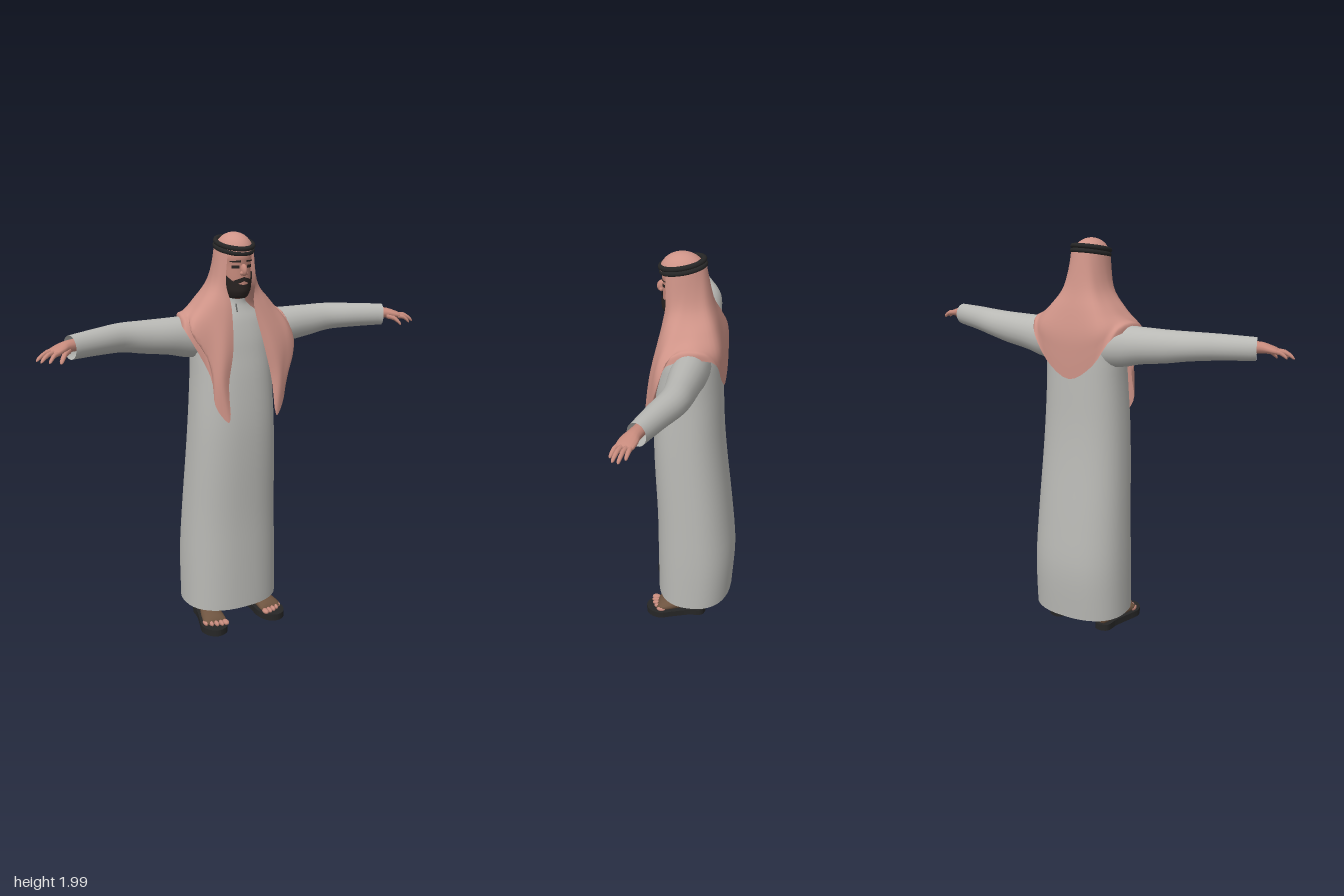
import * as THREE from 'three';

const mat = (name, color, side = THREE.FrontSide) => {
  const m = new THREE.MeshStandardMaterial({ color, side });
  m.name = name;
  return m;
};

// Catmull-Rom through rows of numbers, n steps per span
function smooth(rows, n) {
  const out = [], last = rows.length - 1;
  const at = i => rows[Math.max(0, Math.min(last, i))];
  for (let i = 0; i < last; i++) for (let s = 0; s < n; s++) {
    const t = s / n, a = at(i - 1), b = at(i), c = at(i + 1), d = at(i + 2);
    out.push(b.map((v, k) => {
      const cubic = 3 * (v - c[k]) + d[k] - a[k];
      const square = 2 * a[k] - 5 * v + 4 * c[k] - d[k];
      return v + 0.5 * t * (c[k] - a[k] + t * (square + t * cubic));
    }));
  }
  out.push(rows[last]);
  return out;
}

// Surface over a grid of points; closed joins the last column to the first
function surface(grid, closed) {
  const w = grid[0].length, index = [];
  for (let i = 0; i < grid.length - 1; i++) for (let j = 0; j < (closed ? w : w - 1); j++) {
    const k = (j + 1) % w, a = i * w + j, b = i * w + k, c = b + w, d = a + w;
    index.push(a, b, c, a, c, d);
  }
  const g = new THREE.BufferGeometry();
  g.setAttribute('position', new THREE.Float32BufferAttribute(grid.flat(2), 3));
  g.setIndex(index);
  g.computeVertexNormals();
  return g;
}

const superCos = (t, p) => Math.sign(Math.cos(t)) * Math.abs(Math.cos(t)) ** p;

// Point on an upright ring [y, halfWidth, zFront, zBack]
function ringPoint([y, rx, zf, zb], t, p = 1, grow = 0) {
  return [(rx + grow) * superCos(t - Math.PI / 2, p), y, (zf + zb) / 2 + ((zf - zb) / 2 + grow) * superCos(t, p)];
}

function upright(rows, sides, p) {
  return surface(smooth(rows, 4).map(r =>
    Array.from({ length: sides }, (_, j) => ringPoint(r, j / sides * Math.PI * 2, p))), true);
}

// Sideways limb through sections [x, y, z, halfHeight, halfDepth]
function limb(sections, sides = 14, n = 4) {
  const rows = smooth(sections, n);
  return surface(rows.map((r, i) => {
    const a = rows[Math.max(0, i - 1)], b = rows[Math.min(rows.length - 1, i + 1)];
    const len = Math.hypot(b[0] - a[0], b[2] - a[2]) || 1;
    const dx = (b[0] - a[0]) / len, dz = (b[2] - a[2]) / len;
    return Array.from({ length: sides }, (_, j) => {
      const t = j / sides * Math.PI * 2, q = r[4] * Math.cos(t);
      return [r[0] + dz * q, r[1] + r[3] * Math.sin(t), r[2] - dx * q];
    });
  }), true);
}

function mirrored(geo) {
  const g = geo.clone().scale(-1, 1, 1);
  if (!g.index) g.setIndex([...Array(g.attributes.position.count).keys()]);
  const a = g.index.array;
  for (let i = 0; i < a.length; i += 3) [a[i], a[i + 1]] = [a[i + 1], a[i]];
  return g;
}

export function createModel() {
  const root = new THREE.Group();
  root.name = 'robedMan';
  const D = THREE.DoubleSide;
  const robeMat = mat('robe grey', 0xb9b9b5, D), clothMat = mat('headcloth pink', 0xcf9488, D);
  const skin = mat('skin', 0xc68a7c), black = mat('cord black', 0x262626);
  const hair = mat('beard dark', 0x2a2422, D), leather = mat('sandal brown', 0x6e5440);
  const seam = mat('seam grey', 0x6c6c6a);
  const add = (name, geo, m) => {
    const mesh = new THREE.Mesh(geo, m);
    mesh.name = name;
    root.add(mesh);
    return mesh;
  };
  const pair = (name, geo, m) => {
    add(name + 'Left', geo, m);
    add(name + 'Right', mirrored(geo), m);
  };

  // Robe body, collar and sleeves
  add('robe', upright([
    [0.10, 0.25, 0.18, -0.212], [0.35, 0.248, 0.18, -0.225], [0.6, 0.238, 0.18, -0.205],
    [0.9, 0.224, 0.19, -0.172], [1.1, 0.214, 0.19, -0.155], [1.3, 0.203, 0.175, -0.146],
    [1.42, 0.2, 0.158, -0.14], [1.5, 0.195, 0.145, -0.133], [1.58, 0.165, 0.125, -0.12],
    [1.63, 0.1, 0.105, -0.09], [1.66, 0.064, 0.095, -0.05], [1.69, 0.057, 0.092, -0.04]], 40, 0.85), robeMat);
  const placket = add('placketSeam', new THREE.BoxGeometry(0.005, 0.04, 0.006), seam);
  placket.position.set(-0.015, 1.64, 0.102);
  placket.rotation.x = -0.35;
  pair('sleeve', limb([
    [0.10, 1.49, -0.02, 0.1, 0.085], [0.22, 1.50, -0.018, 0.1, 0.085], [0.32, 1.512, -0.014, 0.088, 0.08],
    [0.45, 1.522, -0.01, 0.078, 0.07], [0.56, 1.533, 0.002, 0.068, 0.065],
    [0.68, 1.536, 0.045, 0.061, 0.057], [0.835, 1.535, 0.1, 0.054, 0.045]], 20), robeMat);

  // Hands
  pair('hand', limb([
    [0.79, 1.543, 0.085, 0.028, 0.03], [0.85, 1.543, 0.106, 0.026, 0.032], [0.885, 1.538, 0.118, 0.021, 0.041],
    [0.92, 1.53, 0.13, 0.014, 0.04], [0.935, 1.526, 0.135, 0.002, 0.02]]), skin);
  [[[0.905, 1.53, 0.098], [0.975, 1.503, 0.115]], [[0.915, 1.531, 0.118], [1.0, 1.5, 0.14]],
    [[0.912, 1.53, 0.138], [0.988, 1.497, 0.166]], [[0.9, 1.527, 0.154], [0.955, 1.495, 0.183]],
    [[0.85, 1.528, 0.13], [0.905, 1.487, 0.182]]].forEach(([a, b], i) => {
    const r = i === 4 ? 0.013 : 0.011;
    const section = (t, k) =>
      [...a.map((v, q) => v + (b[q] - v) * t + (q === 1 ? 0.048 * t * (1 - t) : 0)), r * k, r * k];
    const sections = [section(0, 1), section(0.5, 0.95), section(0.9, 0.75), section(1, 0.05)];
    pair(i === 4 ? 'thumb' : 'finger' + (i + 1), limb(sections, 8, 2), skin);
  });

  // Head and neck
  const headRows = [[1.6, 0.05, 0.08, -0.03], [1.675, 0.046, 0.09, -0.03], [1.69, 0.048, 0.125, -0.03],
    [1.72, 0.062, 0.138, -0.035], [1.78, 0.072, 0.139, -0.04], [1.84, 0.076, 0.138, -0.045],
    [1.89, 0.076, 0.142, -0.045], [1.94, 0.05, 0.1, -0.02]];
  add('head', upright(headRows, 28, 1), skin);
  const headAt = y => {
    const i = Math.max(0, headRows.findIndex(r => r[0] >= y) - 1), a = headRows[i], b = headRows[i + 1];
    return a.map((v, k) => v + (b[k] - v) * (y - a[0]) / (b[0] - a[0]));
  };
  // Thin patch on the face between two angles (degrees) and two height rules
  const patch = (from, to, low, high, grow) => surface(Array.from({ length: 9 }, (_, i) =>
    Array.from({ length: 17 }, (_, j) => {
      const t = (from + (to - from) * j / 16) * Math.PI / 180;
      return ringPoint(headAt(low(t) + (high(t) - low(t)) * i / 8), t, 1, grow);
    })), false);
  add('beard', patch(-85, 85, () => 1.686, t => 1.752 + 0.05 * Math.min(1, Math.abs(t) / 1.1) ** 2, 0.008), hair);
  add('moustache', patch(-36, 36, t => 1.769 - 0.03 * Math.abs(t), t => 1.788 - 0.025 * Math.abs(t), 0.008), hair);
  pair('eyebrow', patch(10, 46, () => 1.856, t => 1.867 - 0.008 * t, 0.005), hair);
  pair('eye', patch(15, 40, () => 1.828, () => 1.842, 0.004), hair);
  add('nose', new THREE.SphereGeometry(1, 14, 10).scale(0.014, 0.028, 0.024)
    .rotateX(-0.25).translate(0, 1.82, 0.144), skin);
  pair('nostril', new THREE.SphereGeometry(0.01, 10, 8).translate(0.011, 1.806, 0.146), skin);

  // Headcloth crown and double cord
  add('headclothCrown', new THREE.SphereGeometry(1, 32, 20, 0, Math.PI * 2, 0, Math.PI * 0.52)
    .scale(0.086, 0.09, 0.106).translate(0, 1.895, 0.047), clothMat);
  for (const h of [-0.011, 0.011]) {
    add('headCord', new THREE.TorusGeometry(0.083, 0.012, 8, 36).rotateX(Math.PI / 2).scale(1, 1, 1.2)
      .translate(0, h, 0).rotateX(0.2).translate(0, 1.925, 0.047), black);
  }

  // Headcloth drape: falling columns from the front edge round to the middle of the back
  const falls = [
    [50, [0.078, 1.76, 0.115], [0.06, 1.65, 0.137], [0.098, 1.46, 0.17], [0.13, 1.3, 0.188], [0.135, 1.16, 0.213]],
    [60, [0.092, 1.76, 0.1], [0.1, 1.64, 0.135], [0.15, 1.46, 0.178], [0.168, 1.3, 0.2], [0.15, 1.12, 0.217]],
    [75, [0.106, 1.76, 0.08], [0.15, 1.645, 0.115], [0.22, 1.49, 0.15], [0.212, 1.33, 0.178], [0.205, 1.2, 0.185]],
    [95, [0.112, 1.76, 0.05], [0.185, 1.655, 0.075], [0.256, 1.55, 0.115], [0.295, 1.44, 0.125], [0.24, 1.34, 0.145]],
    [115, [0.112, 1.76, 0.02], [0.185, 1.66, 0.02], [0.23, 1.617, 0.03], [0.262, 1.592, 0.06], [0.275, 1.55, 0.082]],
    [135, [0.1, 1.76, -0.03], [0.17, 1.665, -0.05], [0.215, 1.622, -0.06], [0.235, 1.6, -0.09], [0.225, 1.56, -0.118]],
    [157, [0.07, 1.77, -0.075], [0.12, 1.665, -0.115], [0.16, 1.58, -0.143], [0.15, 1.5, -0.15], [0.13, 1.42, -0.152]],
    [180, [0, 1.77, -0.092], [0, 1.66, -0.125], [0, 1.55, -0.15], [0, 1.45, -0.155], [0, 1.34, -0.155]]];
  const columns = falls.map(([deg, ...pts]) => {
    const t = deg * Math.PI / 180, z = 0.105 * Math.cos(t);
    return [[0.088 * Math.sin(t), 1.92 - 0.2 * z, 0.047 + z], ...pts];
  });
  // The right panel hangs closer to the body
  const rightSide = columns.slice(0, -1).reverse().map(col => col.map(([x, y, z]) =>
    [-(z > 0.08 && y < 1.5 ? Math.min(x, 0.2 + (x - 0.2) * 0.2) - 0.03 : x), y, z]));
  const all = [...columns, ...rightSide];
  const rows = [5, 4, 3, 2, 1, 0].map(r => all.flatMap(col => col[r]));
  const drape = smooth(rows, 5).map(flat =>
    smooth(all.map((_, j) => flat.slice(j * 3, j * 3 + 3)), 4));
  add('headclothDrape', surface(drape, false), clothMat);

  // Sandals, feet and shins
  const outline = new THREE.Shape();
  outline.moveTo(0.14, -0.09);
  outline.splineThru([[0.18, -0.07], [0.19, 0], [0.215, 0.08], [0.235, 0.15], [0.215, 0.205], [0.17, 0.228],
    [0.12, 0.205], [0.095, 0.14], [0.1, 0.05], [0.095, -0.04], [0.11, -0.08], [0.14, -0.09]]
    .map(p => new THREE.Vector2(...p)));
  pair('sole', new THREE.ExtrudeGeometry(outline, { depth: 0.034, bevelEnabled: false, curveSegments: 4 })
    .rotateX(Math.PI / 2).translate(0, 0.034, 0), black);
  pair('sandalUpper', limb([
    [0.14, 0.06, -0.082, 0.01, 0.01], [0.14, 0.066, -0.07, 0.035, 0.03], [0.142, 0.072, -0.03, 0.046, 0.042],
    [0.147, 0.07, 0.04, 0.045, 0.046], [0.157, 0.058, 0.1, 0.036, 0.055], [0.163, 0.048, 0.15, 0.024, 0.06],
    [0.164, 0.044, 0.17, 0.004, 0.05]], 16), leather);
  pair('ankleStrap', new THREE.CylinderGeometry(0.043, 0.046, 0.06, 16).translate(0.142, 0.105, -0.015), leather);
  pair('shin', new THREE.CylinderGeometry(0.05, 0.038, 0.3, 16).translate(0.142, 0.25, -0.015), skin);
  for (let i = 0; i < 5; i++) {
    pair('toe' + (i + 1), new THREE.SphereGeometry(1, 10, 8).scale(i ? 0.011 : 0.016, 0.013, 0.024)
      .translate(0.118 + i * 0.024, 0.044, 0.184 - 0.0025 * i * i), skin);
  }
  return root;
}
